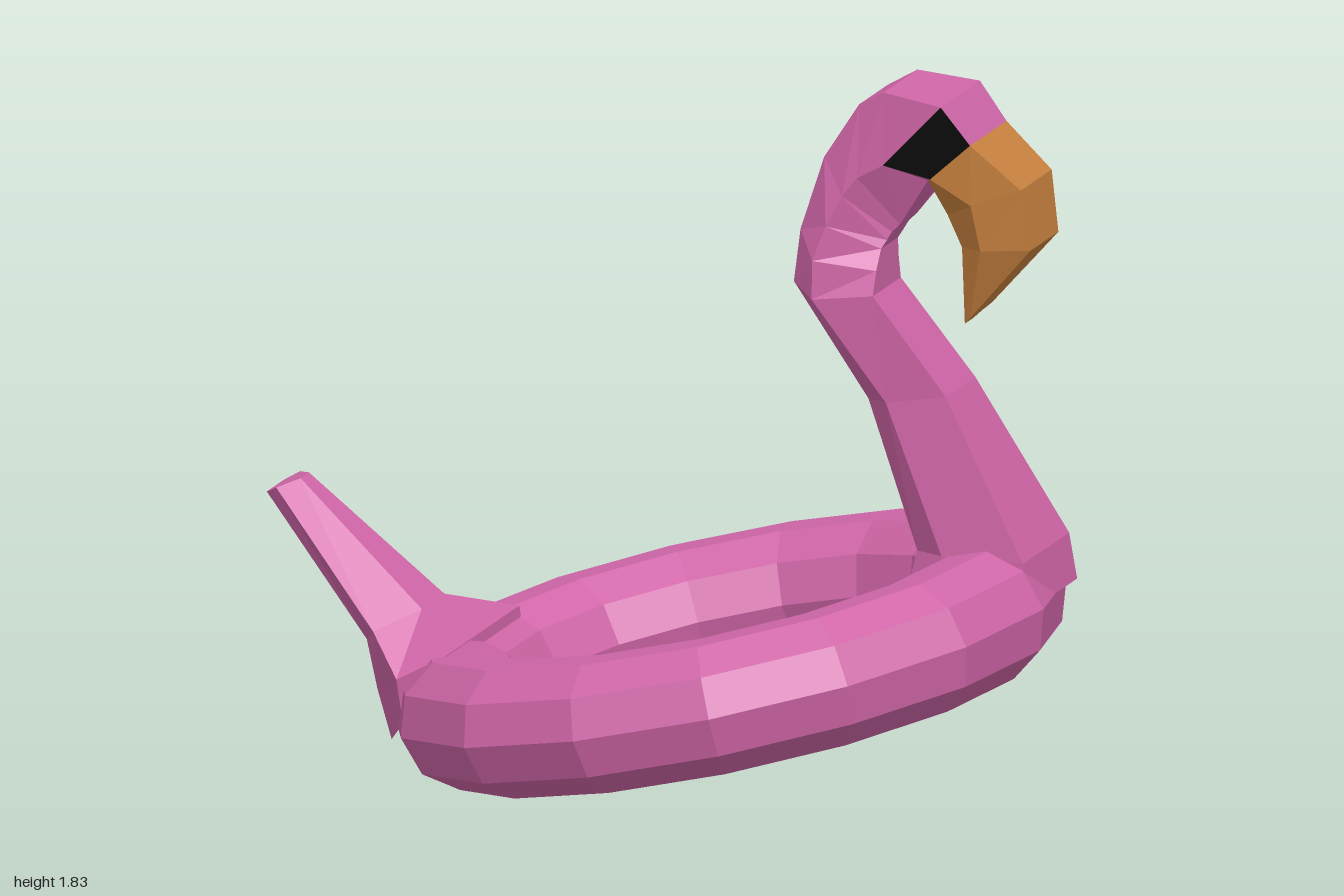
import * as THREE from 'three';

const paint = (color) => new THREE.MeshStandardMaterial({ color, flatShading: true });

// Six-cornered section: back, middle and front points in the xy plane,
// centre z, and the half width at each of the three points.
function corners([bx, by, mx, my, fx, fy, z, wb, wm, wf]) {
  return [
    [bx, by, z + wb], [mx, my, z + wm], [fx, fy, z + wf],
    [fx, fy, z - wf], [mx, my, z - wm], [bx, by, z - wb],
  ];
}

// Skins the chosen sides between successive sections, with an optional end cap.
function loft(sections, sides, cap = false) {
  const loops = sections.map(corners);
  const pos = [];
  const tri = (a, b, c) => pos.push(...a, ...b, ...c);
  for (let k = 0; k + 1 < loops.length; k++) {
    const a = loops[k], b = loops[k + 1];
    for (const i of sides) {
      const j = (i + 1) % 6;
      tri(a[i], a[j], b[j]);
      tri(a[i], b[j], b[i]);
    }
  }
  if (cap) {
    const e = loops[loops.length - 1];
    for (let i = 1; i < 5; i++) tri(e[0], e[i], e[i + 1]);
  }
  const g = new THREE.BufferGeometry();
  g.setAttribute('position', new THREE.Float32BufferAttribute(pos, 3));
  g.computeVertexNormals();
  return g;
}

export function createModel() {
  const model = new THREE.Group();
  const pink = paint(0xd066a8), black = paint(0x0c0c0c), orange = paint(0xc8813f);
  const ALL = [0, 1, 2, 3, 4, 5];
  const add = (name, geometry, material) => {
    const mesh = new THREE.Mesh(geometry, material);
    mesh.name = name;
    model.add(mesh);
    return mesh;
  };

  // Tilted inflatable ring
  const ring = add('floatRing', new THREE.TorusGeometry(0.7, 0.176, 10, 15).rotateX(Math.PI / 2), pink);
  ring.rotation.z = THREE.MathUtils.degToRad(13);
  ring.position.set(0.145, 0.332, 0);

  // Curved neck rising into the head
  const headStart = [0.71, 1.81, 0.55, 1.64, 0.57, 1.47, -0.165, 0.14, 0.13, 0.06];
  const headEnd = [0.78, 1.71, 0.67, 1.61, 0.655, 1.6, -0.18, 0.13, 0.125, 0.1];
  add('neck', loft([
    [0.6, 0.48, 0.72, 0.5, 0.96, 0.52, -0.17, 0.13, 0.165, 0.17],
    [0.63, 0.63, 0.72, 0.64, 0.94, 0.64, -0.17, 0.1, 0.165, 0.165],
    [0.49, 1.01, 0.56, 1.02, 0.72, 1.05, -0.14, 0.05, 0.11, 0.105],
    [0.29, 1.3, 0.37, 1.28, 0.53, 1.3, -0.115, 0.03, 0.115, 0.1],
    [0.31, 1.44, 0.37, 1.38, 0.53, 1.36, -0.12, 0.04, 0.115, 0.08],
    [0.38, 1.64, 0.4, 1.47, 0.53, 1.41, -0.135, 0.07, 0.115, 0.06],
    [0.48, 1.79, 0.44, 1.55, 0.54, 1.43, -0.15, 0.1, 0.12, 0.06],
    [0.55, 1.83, 0.48, 1.6, 0.55, 1.45, -0.16, 0.12, 0.125, 0.06],
    headStart,
  ], ALL), pink);

  // Head front: pink above and below, black patches on the sides
  add('head', loft([headStart, headEnd], [1, 2, 3, 5]), pink);
  add('facePatches', loft([headStart, headEnd], [0, 4]), black);

  // Drooping beak
  add('beak', loft([
    headEnd,
    [0.91, 1.6, 0.78, 1.55, 0.7, 1.51, -0.18, 0.11, 0.125, 0.08],
    [0.93, 1.44, 0.8, 1.43, 0.73, 1.42, -0.185, 0.1, 0.115, 0.06],
    [0.78, 1.26, 0.75, 1.235, 0.73, 1.215, -0.175, 0.03, 0.045, 0.03],
  ], ALL, true), orange);

  // Upswept tail, flaring where it joins the ring
  add('tail', loft([
    [-0.66, 0.1, -0.58, 0.18, -0.46, 0.26, 0.13, 0.15, 0.28, 0.27],
    [-0.71, 0.22, -0.59, 0.3, -0.47, 0.365, 0.13, 0.12, 0.3, 0.26],
    [-0.735, 0.35, -0.68, 0.4, -0.59, 0.44, 0.17, 0.09, 0.19, 0.08],
    [-1, 0.715, -0.965, 0.735, -0.92, 0.75, 0.215, 0.06, 0.085, 0.03],
  ], ALL, true), pink);

  return model;
}
